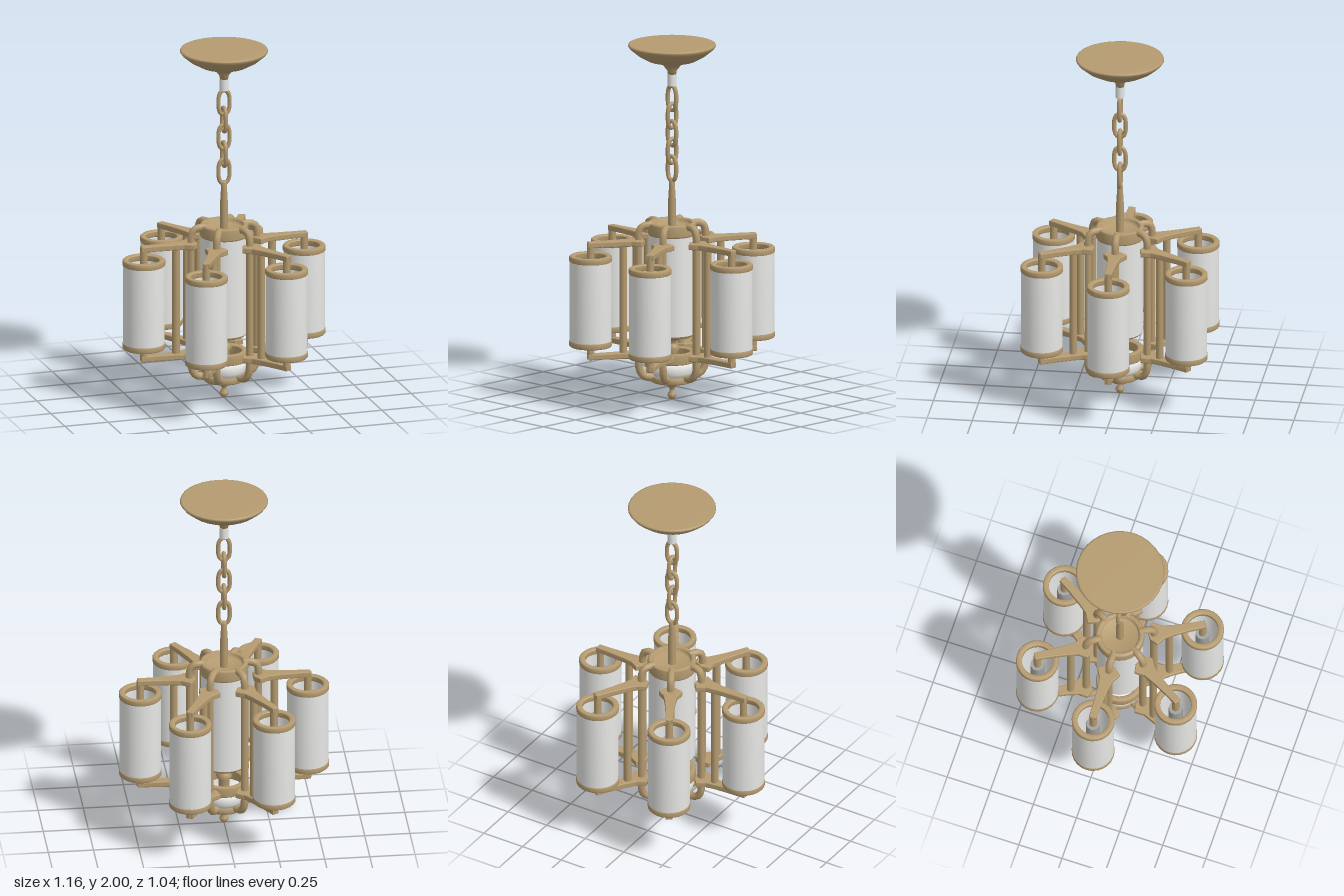
import * as THREE from 'three';

export function createModel() {
  const model = new THREE.Group();
  const brass = new THREE.MeshStandardMaterial({ color: 0xb59b70 });
  const white = new THREE.MeshStandardMaterial({ color: 0xe8e8e6 });
  const grey = new THREE.MeshStandardMaterial({ color: 0xa3a3a0 });
  brass.name = 'brass';
  white.name = 'white glass';
  grey.name = 'socket grey';

  function add(parent, name, geometry, material, x = 0, y = 0, z = 0) {
    const mesh = new THREE.Mesh(geometry, material);
    mesh.name = name;
    mesh.position.set(x, y, z);
    parent.add(mesh);
    return mesh;
  }
  // Profiles run from bottom to top so that faces look outwards
  const lathe = (pts, seg = 24) =>
    new THREE.LatheGeometry(pts.map(([r, y]) => new THREE.Vector2(r, y)), seg);
  const rod = (r, y0, y1, seg = 10) =>
    new THREE.CylinderGeometry(r, r, y1 - y0, seg).translate(0, (y0 + y1) / 2, 0);
  const pipe = (pts, r, closed = false, seg = 40) => new THREE.TubeGeometry(
    new THREE.CatmullRomCurve3(pts.map(([x, y]) => new THREE.Vector3(x, y, 0)), closed, 'centripetal'),
    seg, r, 8, closed);
  // Closed hollow ring with inner and outer walls
  const sleeve = (ri, ro, y0, y1) => {
    const b = Math.min(0.006, (y1 - y0) / 3);
    return lathe([[ri, y1 - b], [ri, y0 + b], [ri + b, y0], [ro - b, y0], [ro, y0 + b],
      [ro, y1 - b], [ro - b, y1], [ri + b, y1], [ri, y1 - b]]);
  };

  // Ceiling canopy and neck
  add(model, 'canopy', lathe([[0, 1.825], [0.022, 1.825], [0.026, 1.85], [0.045, 1.875],
    [0.065, 1.895], [0.13, 1.907], [0.19, 1.94], [0.232, 1.975], [0.243, 1.99], [0.24, 1.998],
    [0.232, 2], [0, 2]], 32), brass);
  add(model, 'canopyCollar', rod(0.025, 1.765, 1.83), white);

  // Chain of alternating links, then the rod into the hub
  for (let i = 0; i < 5; i++) {
    const w = 0.03, h = 0.068;
    const link = add(model, 'chainLink', pipe([[w, -h * 0.5], [w, h * 0.5], [w * 0.6, h * 0.9], [0, h],
      [-w * 0.6, h * 0.9], [-w, h * 0.5], [-w, -h * 0.5], [-w * 0.6, -h * 0.9], [0, -h],
      [w * 0.6, -h * 0.9]], 0.012, true), brass, 0, 1.695 - i * 0.099, 0);
    link.rotation.y = i % 2 ? Math.PI / 2 : 0;
  }
  add(model, 'stemRod', lathe([[0.022, 0.95], [0.022, 1.12], [0.017, 1.2], [0.018, 1.235],
    [0.01, 1.245], [0, 1.245]], 12), brass);

  // Central glass column with brass cap and base
  add(model, 'hubCap', lathe([[0, 0.93], [0.13, 0.93], [0.134, 0.938], [0.134, 0.99], [0.128, 1],
    [0.112, 1], [0.105, 0.992], [0.1, 0.97], [0, 0.965]]), brass);
  add(model, 'columnGlass', rod(0.128, 0.375, 0.932, 24), white);
  add(model, 'columnBase', lathe([[0, 0.362], [0.118, 0.362], [0.126, 0.37], [0.126, 0.38], [0, 0.38]]), brass);
  add(model, 'spindle', lathe([[0.03, 0.2], [0.03, 0.27], [0.045, 0.29], [0.03, 0.31], [0.022, 0.325],
    [0.045, 0.345], [0.055, 0.365]], 16), brass);

  // Lower cup and finial
  add(model, 'cupRim', sleeve(0.098, 0.132, 0.215, 0.275), brass);
  add(model, 'cupGlass', lathe([[0, 0.135], [0.105, 0.135], [0.118, 0.16], [0.124, 0.217], [0, 0.22]]), white);
  add(model, 'cupBase', lathe([[0, 0.1], [0.108, 0.1], [0.116, 0.108], [0.116, 0.13], [0.108, 0.14], [0, 0.14]]), brass);
  add(model, 'finial', lathe([[0, 0], [0.014, 0.005], [0.024, 0.018], [0.024, 0.032], [0.013, 0.047],
    [0.014, 0.062], [0.028, 0.078], [0.04, 0.102]], 14), brass);

  // Flat arm tapering from a flared bracket to the lamp
  const half = [[0.165, 0.025], [0.195, 0.06], [0.215, 0.05], [0.24, 0.034], [0.3, 0.025], [0.4, 0.018], [0.475, 0.016]];
  const outline = [...half.map(([x, w]) => [x, -w]), ...half.slice().reverse()];
  const armGeometry = new THREE.ExtrudeGeometry(
    new THREE.Shape(outline.map(([x, w]) => new THREE.Vector2(x, w))),
    { depth: 0.02, bevelEnabled: true, bevelSize: 0.004, bevelThickness: 0.006, bevelSegments: 2 })
    .rotateX(-Math.PI / 2).translate(0, -0.01, 0);

  // Six lamps around the column
  const R = 0.463;
  for (let k = 0; k < 6; k++) {
    const arm = new THREE.Group();
    arm.name = 'lampArm';
    arm.rotation.y = k * Math.PI / 3;
    model.add(arm);

    add(arm, 'framePipe', pipe([[0.11, 0.985], [0.15, 0.988], [0.178, 0.975], [0.19, 0.94], [0.19, 0.88],
      [0.19, 0.56], [0.19, 0.25], [0.188, 0.19], [0.173, 0.153], [0.145, 0.135], [0.1, 0.133]], 0.021), brass);
    add(arm, 'outerPost', rod(0.021, 0.265, 0.895), brass, 0.277);
    add(arm, 'upperArm', armGeometry, brass, 0, 0.895, 0);
    add(arm, 'lowerArm', armGeometry, brass, 0, 0.265, 0);
    add(arm, 'upperStem', rod(0.021, 0.76, 0.905), brass, R);
    add(arm, 'lowerStem', rod(0.021, 0.255, 0.42), brass, R);
    add(arm, 'lampSocket', rod(0.04, 0.4, 0.77, 8), grey, R);

    add(arm, 'shade', sleeve(0.092, 0.115, 0.35, 0.81), white, R);
    add(arm, 'upperShadeRing', sleeve(0.086, 0.118, 0.8, 0.836), brass, R);
    add(arm, 'lowerShadeRing', sleeve(0.086, 0.118, 0.325, 0.361), brass, R);
  }
  return model;
}
